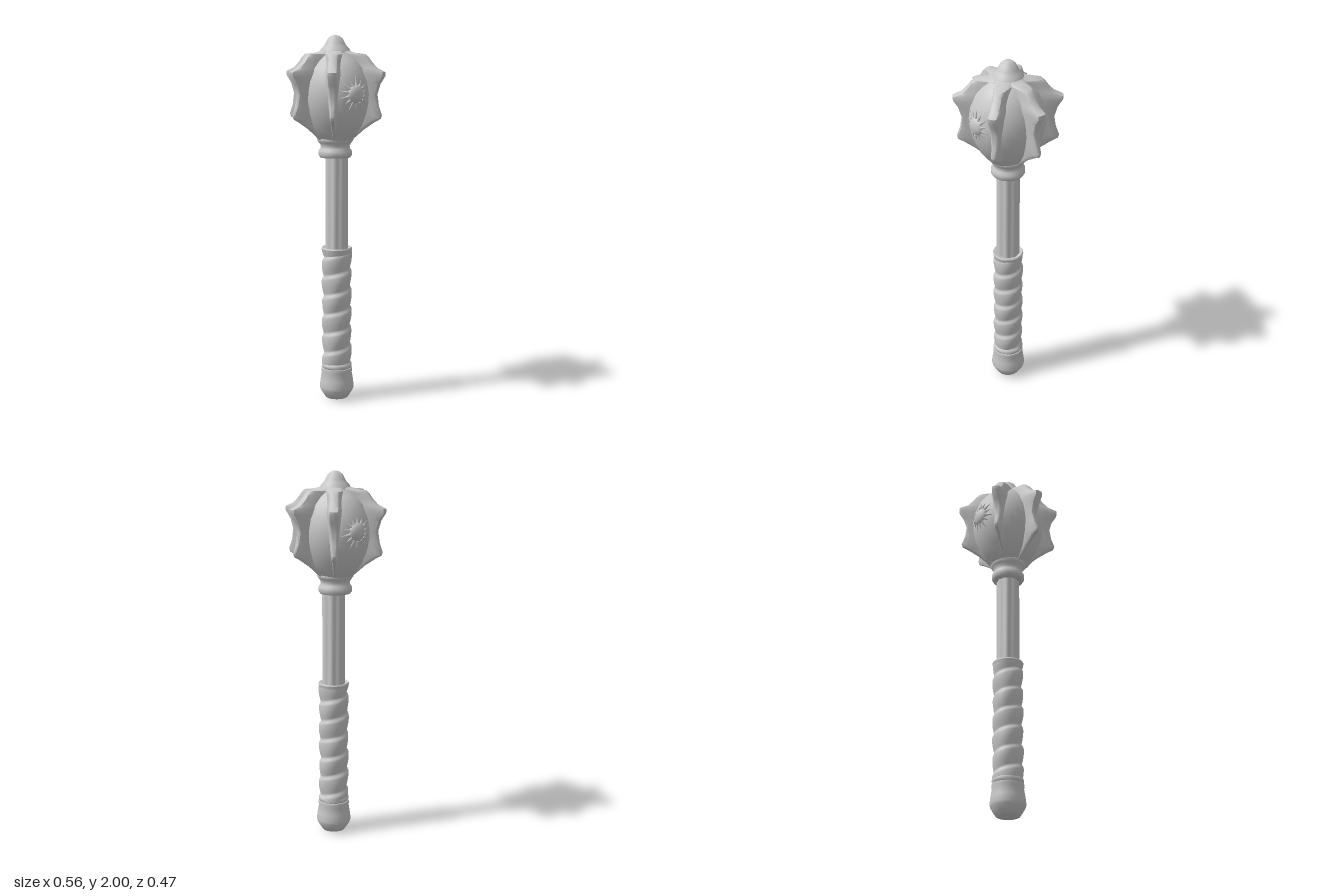
import * as THREE from 'three';
import { mergeVertices, toCreasedNormals } from 'three/addons/utils/BufferGeometryUtils.js';

const steel = new THREE.MeshStandardMaterial({ color: 0xc8c8c8 });
steel.name = 'pale grey';

function add(parent, name, geometry) {
  const mesh = new THREE.Mesh(geometry, steel);
  mesh.name = name;
  parent.add(mesh);
  return mesh;
}

function lathe(points, segments = 32, crease = 0.7) {
  const pts = points.map(([r, y]) => new THREE.Vector2(r, y));
  return toCreasedNormals(new THREE.LatheGeometry(pts, segments), crease);
}

// Upright open tube whose radius follows a rule of angle and height
function ruledTube(y0, y1, rows, segments, radius) {
  let geo = new THREE.CylinderGeometry(1, 1, y1 - y0, segments, rows, true);
  geo.translate(0, (y0 + y1) / 2, 0);
  geo.deleteAttribute('uv');
  geo.deleteAttribute('normal');
  const p = geo.attributes.position;
  for (let i = 0; i < p.count; i++) {
    const a = Math.atan2(p.getZ(i), p.getX(i));
    const r = radius(a, p.getY(i));
    p.setXYZ(i, r * Math.cos(a), p.getY(i), r * Math.sin(a));
  }
  geo = mergeVertices(geo, 1e-4);
  geo.computeVertexNormals();
  return geo;
}

// Three-pointed flange, stacked from horizontal cross-sections
function flangeGeometry() {
  const rows = [
    [0.09, 1.44], [0.165, 1.505], [0.225, 1.545], [0.256, 1.562], [0.263, 1.58],
    [0.245, 1.63], [0.236, 1.69], [0.252, 1.745], [0.278, 1.785], [0.279, 1.808],
    [0.235, 1.828], [0.204, 1.86], [0.186, 1.885], [0.17, 1.9], [0.11, 1.906], [0.07, 1.92],
  ];
  const pos = [], index = [];
  for (const [R, y] of rows) {
    const k = THREE.MathUtils.clamp((y - 1.42) / 0.3, 0.35, 1);
    const tip = 0.029 * k, rin = 0.05, len = R - rin;
    const half = [
      [rin, 0.06 * k], [rin + len * 0.3, 0.046 * k], [rin + len * 0.6, 0.036 * k],
      [R - Math.min(0.035, len * 0.2), tip], [R - 0.006, tip * 0.75], [R, tip * 0.35],
    ];
    const section = [...half, ...half.slice().reverse().map(([x, z]) => [x, -z])];
    for (const [x, z] of section) pos.push(x, y, z);
  }
  const n = 12;
  for (let i = 0; i < rows.length - 1; i++) {
    for (let j = 0; j < n - 1; j++) {
      const a = i * n + j, b = a + n;
      index.push(a, a + 1, b, a + 1, b + 1, b);
    }
  }
  const geo = new THREE.BufferGeometry();
  geo.setAttribute('position', new THREE.Float32BufferAttribute(pos, 3));
  geo.setIndex(index);
  return toCreasedNormals(geo, 0.8);
}

function rayBetween(parent, a, b, radius) {
  const dir = b.clone().sub(a);
  const ray = add(parent, 'ray', new THREE.ConeGeometry(radius, dir.length(), 6));
  ray.position.copy(a).lerp(b, 0.5);
  ray.quaternion.setFromUnitVectors(new THREE.Vector3(0, 1, 0), dir.normalize());
}

// Round stud surrounded by short rays, lying on the head
function sunStud() {
  const sun = new THREE.Group();
  sun.name = 'sunStud';
  const boss = add(sun, 'boss', new THREE.SphereGeometry(0.05, 20, 14));
  boss.scale.z = 0.55;
  boss.position.set(0, 1.695, 0.194);
  const onHead = (a, r) => {
    const x = r * Math.cos(a), dy = r * Math.sin(a);
    return new THREE.Vector3(x, 1.695 + dy, 1.1 * Math.sqrt(0.188 ** 2 - x * x) - 1.6 * dy * dy);
  };
  for (let i = 0; i < 14; i++) {
    const a = (i + 0.5) * Math.PI / 7;
    rayBetween(sun, onHead(a, 0.045), onHead(a, i % 2 ? 0.094 : 0.082), 0.008);
  }
  return sun;
}

export function createModel() {
  const model = new THREE.Group();
  model.name = 'mace';

  // Head: bulb, finial, flanges and studs
  const head = new THREE.Group();
  head.name = 'head';
  model.add(head);
  const bulb = add(head, 'bulb', lathe([
    [0.085, 1.44], [0.115, 1.475], [0.145, 1.52], [0.173, 1.59], [0.186, 1.65],
    [0.188, 1.70], [0.181, 1.76], [0.155, 1.83], [0.125, 1.87], [0.09, 1.905],
  ], 36));
  bulb.scale.z = 1.1;
  add(head, 'finial', lathe([
    [0, 2], [0.022, 1.995], [0.04, 1.98], [0.053, 1.955], [0.062, 1.94],
    [0.077, 1.925], [0.083, 1.908], [0.09, 1.895], [0.11, 1.87],
  ].reverse(), 28, 1.2));
  const flange = flangeGeometry();
  for (const degrees of [0, 54, 126, 180, 234, 306]) {
    add(head, 'flange', flange).rotation.y = THREE.MathUtils.degToRad(degrees);
  }
  const back = sunStud();
  back.rotation.y = Math.PI;
  head.add(sunStud(), back);

  // Collar under the head
  add(model, 'collar', lathe([
    [0.055, 1.348], [0.082, 1.35], [0.09, 1.362], [0.09, 1.385], [0.08, 1.398],
    [0.078, 1.415], [0.09, 1.432], [0.099, 1.445], [0.096, 1.458], [0.07, 1.47],
  ], 28, 1));

  // Handle, set slightly off the head's axis
  const handle = new THREE.Group();
  handle.name = 'handle';
  handle.position.set(0.007, 0, 0.005);
  model.add(handle);
  add(handle, 'shaft', ruledTube(0.8, 1.36, 1, 48, (a) => 0.06 + 0.003 * Math.cos(8 * a)));

  // Leather wrap: overlapping spiral turns
  add(handle, 'gripWrap', ruledTube(0.18, 0.835, 90, 36, (a, y) => {
    const turn = y / 0.108 + a / (2 * Math.PI) + 20;
    const t = turn - Math.floor(turn);
    const fold = t < 0.82 ? Math.sin((t / 0.82) * Math.PI * 0.62) : 0.93 * (1 - t) / 0.18;
    return 0.071 + 0.011 * fold + 0.0015 * Math.sin(3 * a + y * 23);
  }));
  add(handle, 'gripTopLip', lathe([
    [0.074, 0.81], [0.08, 0.83], [0.084, 0.85], [0.08, 0.857], [0.058, 0.85],
  ], 28));
  add(handle, 'gripBottomBand', lathe([
    [0.072, 0.17], [0.08, 0.178], [0.084, 0.19], [0.08, 0.203], [0.07, 0.21],
  ], 28, 1.2));

  // Pommel
  add(handle, 'pommel', lathe([
    [0, 0], [0.045, 0.001], [0.062, 0.007], [0.078, 0.03], [0.092, 0.055],
    [0.095, 0.07], [0.09, 0.11], [0.083, 0.15], [0.086, 0.162], [0.084, 0.176], [0.06, 0.182],
  ], 28, 0.9));

  return model;
}
